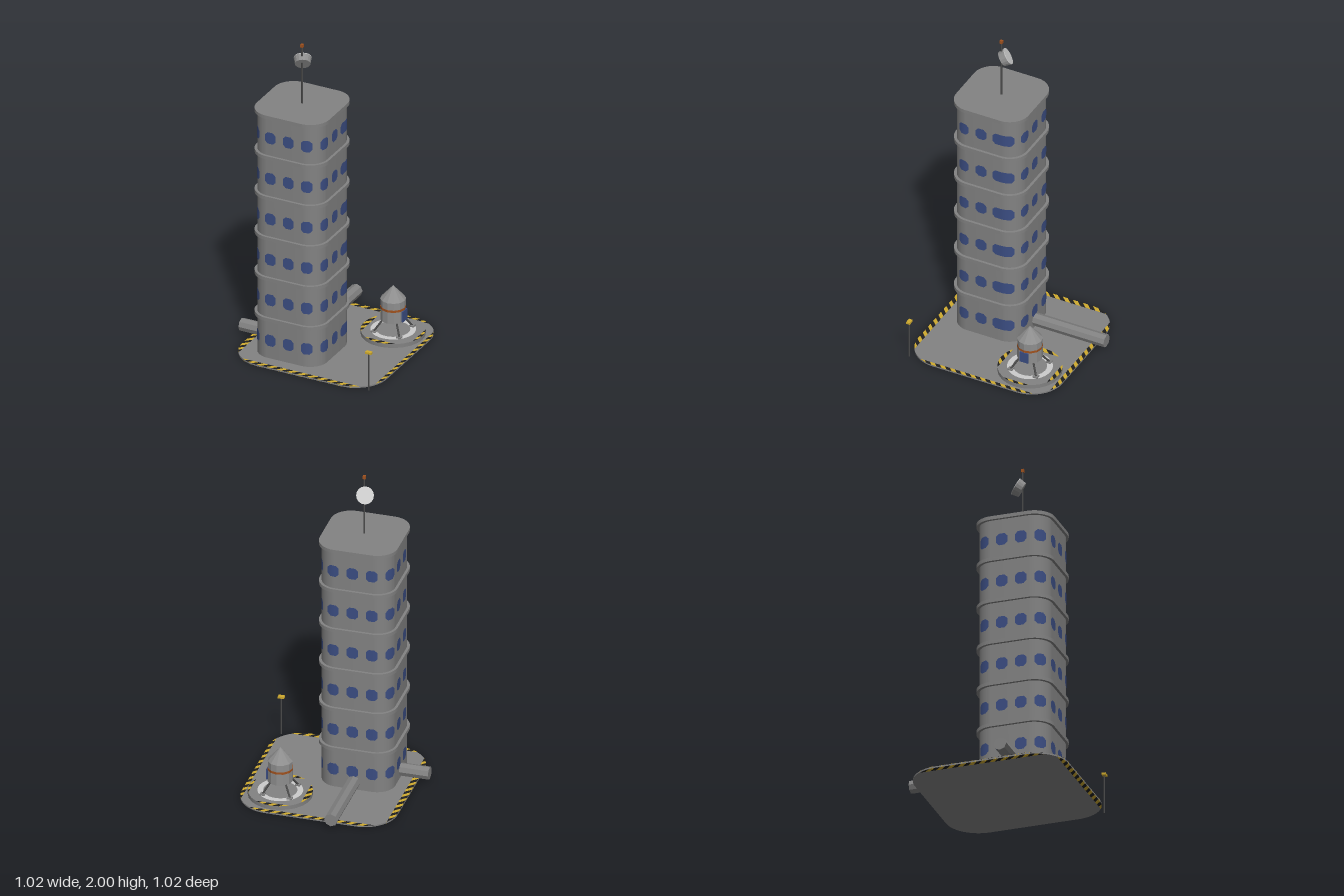
import * as THREE from 'three';
import { mergeGeometries, toCreasedNormals } from 'three/addons/utils/BufferGeometryUtils.js';

const mat = (name, color) => {
  const m = new THREE.MeshStandardMaterial({ color });
  m.name = name;
  return m;
};

export function createModel() {
  const concrete = mat('concrete grey', 0x828282);
  const metal = mat('metal grey', 0x8e8e8e);
  const dark = mat('dark metal', 0x4a4a4a);
  const white = mat('marking white', 0xcccccc);
  const yellow = mat('hazard yellow', 0xcfaa2e);
  const black = mat('hazard black', 0x1f1f1f);
  const blue = mat('window blue', 0x3b4d82);
  const orange = mat('orange', 0xa0521f);

  const model = new THREE.Group();
  model.name = 'towerBase';
  const add = (name, geo, material, x = 0, y = 0, z = 0, parent = model) => {
    const mesh = new THREE.Mesh(geo, material);
    mesh.name = name;
    mesh.position.set(x, y, z);
    parent.add(mesh);
    return mesh;
  };
  const flat = (geo) => {
    const g = geo.toNonIndexed();
    g.computeVertexNormals();
    return g;
  };

  // Rounded square in the ground plane, starting on the +x side
  const roundedSquare = (h, r) => {
    const s = new THREE.Shape(), c = h - r;
    s.moveTo(h, -c);
    s.lineTo(h, c);
    s.absarc(c, c, r, 0, Math.PI / 2);
    s.lineTo(-c, h);
    s.absarc(-c, c, r, Math.PI / 2, Math.PI);
    s.lineTo(-h, -c);
    s.absarc(-c, -c, r, Math.PI, Math.PI * 1.5);
    s.lineTo(c, -h);
    s.absarc(c, -c, r, Math.PI * 1.5, Math.PI * 2);
    return s;
  };
  // Upright prism between two heights
  const prism = (shape, y0, y1) => {
    const g = new THREE.ExtrudeGeometry(shape, { depth: y1 - y0, bevelEnabled: false, curveSegments: 12 });
    return toCreasedNormals(g.rotateX(Math.PI / 2).translate(0, y1, 0), 0.6);
  };

  // Keep the part of a convex polygon where nx*x + ny*y >= c
  const clip = (poly, nx, ny, c) => {
    const out = [];
    poly.forEach((a, i) => {
      const b = poly[(i + 1) % poly.length];
      const da = a.x * nx + a.y * ny - c, db = b.x * nx + b.y * ny - c;
      if (da >= 0) out.push(a);
      if (da * db < 0) out.push(a.clone().lerp(b, da / (da - db)));
    });
    return out;
  };
  // Thin plates of diagonal hazard stripes; each edge is [nx, nz, inner distance]
  const hazard = (name, outline, edges, y0, y1, cx, cz) => {
    const parts = [[], []], step = 0.033;
    for (const [nx, nz, inner] of edges) {
      const band = clip(outline, nx, nz, inner);
      for (let k = -30; k < 30; k++) {
        const piece = clip(clip(band, 1, 1, k * step), -1, -1, -(k + 1) * step);
        if (piece.length > 2) parts[k & 1].push(prism(new THREE.Shape(piece), y0, y1));
      }
    }
    add(name + 'Yellow', mergeGeometries(parts[0]), yellow, cx, 0, cz);
    add(name + 'Black', mergeGeometries(parts[1]), black, cx, 0, cz);
  };

  // Ground slab, striped on top and along two edges underneath
  const slab = roundedSquare(0.475, 0.2), slabEdge = slab.getPoints(12);
  add('slab', prism(slab, 0.001, 0.01), concrete, 0.035, 0, 0.035);
  const left = [-1, 0, 0.441], front = [0, 1, 0.444];
  hazard('slabStripe', slabEdge, [[1, 0, 0.453], left, front, [0, -1, 0.447]], 0.01, 0.0112, 0.035, 0.035);
  hazard('undersideStripe', slabEdge, [left, front], 0, 0.001, 0.035, 0.035);

  // Tower body and ledges
  const tower = new THREE.Group();
  tower.name = 'tower';
  tower.position.set(-0.112, 0, 0.182);
  model.add(tower);
  const half = 0.222, radius = 0.11, floors = 6, floorHeight = 0.2665;
  const wall = roundedSquare(half, radius);
  add('towerBody', prism(wall, 0.01, 1.595), concrete, 0, 0, 0, tower);
  const ledge = prism(roundedSquare(half + 0.016, radius + 0.014), -0.011, 0.011);
  for (let i = 1; i <= floors; i++) add('ledge', ledge, concrete, 0, i * floorHeight + 0.002, 0, tower);

  // Windows wrapped around the wall, with one wide window by the back corner
  const girth = wall.getLength();
  const wrapWindow = (s, w) => {
    const h = 0.074, chamfer = 0.0175;
    const g = new THREE.PlaneGeometry(w, h, Math.round(w / chamfer) * 2, 1), p = g.attributes.position;
    for (let i = 0; i < p.count; i++) {
      const u = p.getX(i), cut = Math.max(0, Math.abs(u) - (w / 2 - chamfer));
      const t = ((s - u + girth) % girth) / girth;
      const q = wall.getPoint(t), d = wall.getTangent(t);
      p.setXYZ(i, q.x + d.y * 0.002, Math.sign(p.getY(i)) * (h / 2 - cut), q.y - d.x * 0.002);
    }
    g.computeVertexNormals();
    return g;
  };
  const windows = [wrapWindow(-0.0133, 0.135)];
  for (let k = 1; k < 13; k++) windows.push(wrapWindow(0.012 + 0.118 * k, 0.07));
  const windowRow = mergeGeometries(windows);
  for (let i = 0; i < floors; i++) add('windowRow', windowRow, blue, 0, 0.128 + i * floorHeight, 0, tower);

  // Roof antenna with tilted dish
  add('mast', new THREE.CylinderGeometry(0.005, 0.005, 0.38, 8), dark, 0, 1.79, 0, tower);
  add('mastTip', new THREE.BoxGeometry(0.016, 0.02, 0.016), orange, 0, 1.99, 0, tower);
  const dish = new THREE.Group();
  dish.name = 'dish';
  dish.position.set(-0.006, 1.879, -0.02);
  dish.quaternion.setFromUnitVectors(new THREE.Vector3(0, 1, 0), new THREE.Vector3(-0.4, 0.5, -0.77).normalize());
  tower.add(dish);
  add('dishBody', flat(new THREE.CylinderGeometry(0.053, 0.046, 0.042, 16)), metal, 0, 0, 0, dish);
  add('dishFace', new THREE.CylinderGeometry(0.053, 0.053, 0.003, 16), white, 0, 0.022, 0, dish);

  // Eight-sided connecting tunnels
  const tunnel = (len) => flat(new THREE.CylinderGeometry(0.04, 0.04, len, 8));
  add('backTunnel', tunnel(0.48).rotateX(Math.PI / 2), concrete, -0.112, 0.06, -0.27);
  add('sideTunnel', tunnel(0.19).rotateZ(Math.PI / 2), concrete, -0.415, 0.06, 0.182);

  // Landing pad
  const px = 0.283, pz = -0.212;
  const disc = new THREE.Shape().absarc(0, 0, 0.191, 0, Math.PI * 2);
  add('landingPad', prism(disc, 0.01, 0.035), concrete, px, 0, pz);
  const padEdge = disc.getPoints(12).slice(0, -1);
  hazard('padStripe', padEdge, [[1, 0, 0.172], [-1, 0, 0.157], [0, 1, 0.163], [0, -1, 0.163]], 0.035, 0.0362, px, pz);
  add('padRing', new THREE.RingGeometry(0.1, 0.134, 48).rotateX(-Math.PI / 2), white, px, 0.0365, pz);

  // Lander
  const lander = new THREE.Group();
  lander.name = 'lander';
  lander.position.set(px, 0, pz);
  model.add(lander);
  add('landerBody', flat(new THREE.CylinderGeometry(0.074, 0.075, 0.135, 12)), metal, 0, 0.1725, 0, lander);
  add('landerNose', flat(new THREE.ConeGeometry(0.076, 0.085, 12)), metal, 0, 0.2825, 0, lander);
  add('landerBand', flat(new THREE.CylinderGeometry(0.0758, 0.0758, 0.014, 12)), orange, 0, 0.187, 0, lander);
  add('landerDoor', new THREE.BoxGeometry(0.009, 0.068, 0.055), blue, 0.074, 0.144, 0, lander);
  for (const sx of [-1, 1]) for (const sz of [-1, 1]) {
    const top = new THREE.Vector3(sx * 0.042, 0.115, sz * 0.042);
    const foot = new THREE.Vector3(sx * 0.083, 0.042, sz * 0.083);
    const leg = add('landerLeg', new THREE.CylinderGeometry(0.006, 0.006, top.distanceTo(foot), 8), dark, 0, 0, 0, lander);
    leg.position.copy(top).lerp(foot, 0.5);
    leg.quaternion.setFromUnitVectors(new THREE.Vector3(0, 1, 0), top.clone().sub(foot).normalize());
    add('landerFoot', new THREE.BoxGeometry(0.03, 0.008, 0.03), concrete, foot.x, 0.041, foot.z, lander);
  }

  // Lamp post at the corner
  add('lampPost', new THREE.CylinderGeometry(0.005, 0.005, 0.246, 8), dark, 0.481, 0.123, 0.479);
  add('lampHead', new THREE.BoxGeometry(0.038, 0.013, 0.024), yellow, 0.481, 0.248, 0.479);

  return model;
}
